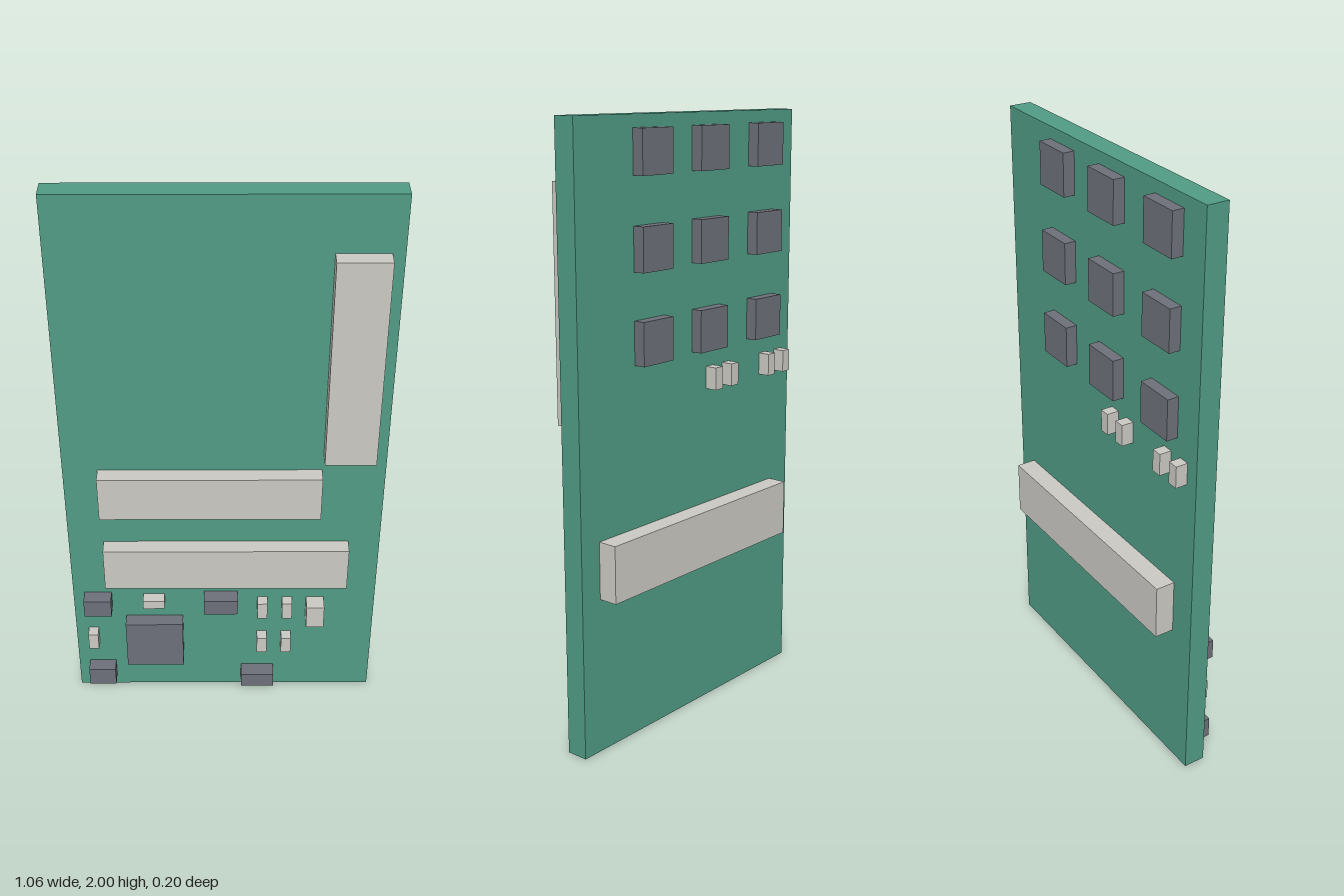
import * as THREE from 'three';

const FRONT = 0.04, BACK = -0.034; // board faces

export function createModel() {
  const group = new THREE.Group();
  const material = (name, color) => {
    const m = new THREE.MeshStandardMaterial({ color });
    m.name = name;
    return m;
  };
  const green = material('boardGreen', 0x4f9a83);
  const dark = material('chipGrey', 0x6c6f78);
  const pale = material('connectorGrey', 0xcac8c2);

  // Box given by its limits on each axis
  const box = (name, mat, x0, x1, y0, y1, z0, z1) => {
    const mesh = new THREE.Mesh(new THREE.BoxGeometry(x1 - x0, y1 - y0, z1 - z0), mat);
    mesh.position.set((x0 + x1) / 2, (y0 + y1) / 2, (z0 + z1) / 2);
    mesh.name = name;
    group.add(mesh);
  };
  const onFront = (name, mat, x0, x1, y0, y1, z) => box(name, mat, x0, x1, y0, y1, FRONT, z);
  const onBack = (name, mat, x0, x1, y0, y1, z) => box(name, mat, x0, x1, y0, y1, z, BACK);

  box('board', green, -0.532, 0.532, 0, 2, BACK, FRONT);

  // Long connectors
  onFront('verticalConnector', pale, 0.325, 0.492, 1.07, 1.81, 0.095);
  onFront('upperConnector', pale, -0.416, 0.322, 0.843, 1.01, 0.095);
  onFront('lowerConnector', pale, -0.412, 0.425, 0.53, 0.7, 0.095);
  onBack('backConnector', pale, -0.435, 0.452, 0.52, 0.71, -0.1);

  // Front chips
  onFront('processor', dark, -0.35, -0.147, 0.147, 0.35, 0.09);
  onFront('cornerChip', dark, -0.493, -0.397, 0.392, 0.462, 0.09);
  onFront('cornerChip', dark, -0.493, -0.397, 0.048, 0.122, 0.09);
  onFront('middleChip', dark, -0.07, 0.048, 0.406, 0.467, 0.095);
  onFront('bottomChip', dark, 0.062, 0.18, 0.04, 0.1, 0.095);

  // Front small components
  onFront('capacitor', pale, 0.29, 0.352, 0.348, 0.44, 0.1);
  onFront('resistor', pale, -0.285, -0.21, 0.419, 0.455, 0.08);
  onFront('resistor', pale, -0.487, -0.452, 0.22, 0.29, 0.08);
  for (const x of [0.118, 0.205]) {
    for (const y of [0.2, 0.37]) onFront('resistor', pale, x, x + 0.035, y, y + 0.07, 0.08);
  }

  // Grid of memory chips on the back
  for (const x of [-0.43, -0.137, 0.14]) {
    for (const y of [1.24, 1.53, 1.82]) onBack('memoryChip', dark, x, x + 0.14, y, y + 0.14, -0.073);
  }
  // Back resistors below the chips
  for (const x of [-0.485, -0.4, -0.193, -0.109]) {
    onBack('backResistor', pale, x, x + 0.037, 1.105, 1.18, -0.075);
  }
  return group;
}
